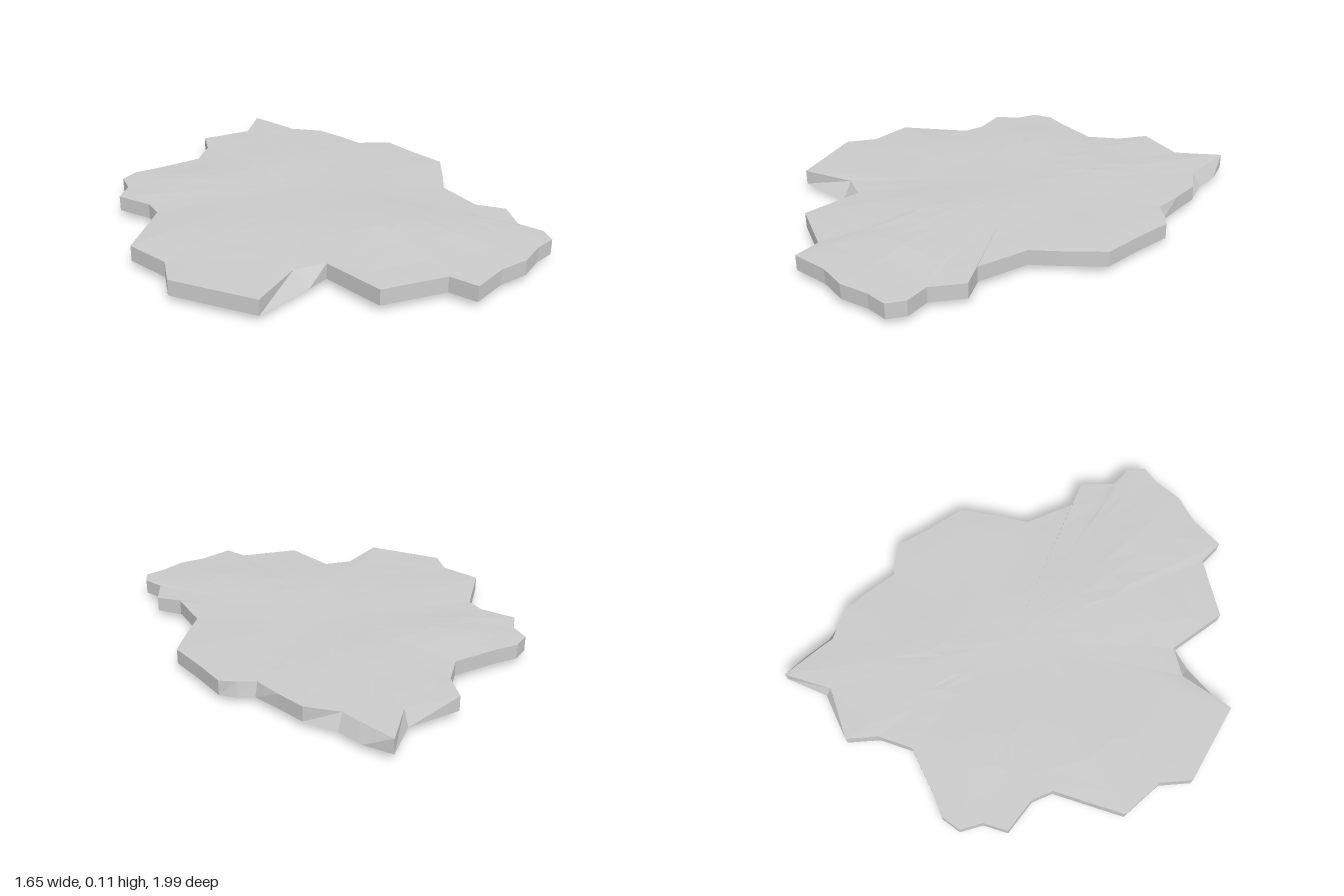
import * as THREE from 'three';

// Slab outline as [x, z], running back -> right -> front -> left.
// Where the wall slants, a second pair gives the lower edge.
const OUTLINE = [
  [-0.08, -1], [0.03, -0.85, 0.02, -0.92], [0.07, -0.79, 0.09, -0.82], [0.21, -0.73],
  [0.29, -0.62], [0.36, -0.51, 0.37, -0.52], [0.44, -0.5, 0.44, -0.51], [0.51, -0.48],
  [0.58, -0.34], [0.67, -0.18], [0.62, 0], [0.58, 0.12], [0.655, 0.335], [0.76, 0.39],
  [0.75, 0.54], [0.82, 0.62], [0.82, 0.7], [0.74, 0.75], [0.65, 0.84], [0.53, 0.89],
  [0.4, 0.99], [0.32, 0.9], [0.05, 0.94], [-0.09, 0.71], [-0.22, 0.73, -0.17, 0.77],
  [-0.38, 0.92], [-0.68, 0.71], [-0.68, 0.57], [-0.8, 0.41], [-0.68, 0.12],
  [-0.71, 0.03], [-0.83, -0.08], [-0.79, -0.18], [-0.81, -0.28], [-0.75, -0.35],
  [-0.65, -0.38], [-0.45, -0.46], [-0.39, -0.6], [-0.39, -0.74], [-0.16, -0.8, -0.17, -0.83],
];

// Soft mounds: x, z, radius, height
const TOP_MOUNDS = [[0.15, 0.42, 0.25, 0.018], [0.5, 0.62, 0.18, 0.016],
  [-0.55, 0.35, 0.2, 0.012], [-0.1, -0.3, 0.3, 0.008], [-0.5, -0.2, 0.2, 0.008]];
const BOTTOM_MOUNDS = [[0.3, -0.08, 0.2, 0.022], [-0.22, 0.55, 0.2, 0.012],
  [0.35, 0.6, 0.2, 0.01], [-0.5, 0.1, 0.2, 0.006]];

const swell = (mounds, x, z) => mounds.reduce((sum, [mx, mz, r, h]) =>
  sum + h * Math.exp(-((x - mx) ** 2 + (z - mz) ** 2) / (r * r)), 0);

// Shallow unevenness of the broken stone surface
const ripple = (x, z) => 0.0025 * Math.sin(9 * x + 4 * z) * Math.cos(8 * z - 3 * x);

function ring(scale, top) {
  const inner = 1 - scale ** 4; // fades the relief out at the rim
  return OUTLINE.map(([tx, tz, bx = tx, bz = tz]) => {
    const x = (top ? tx : bx) * scale;
    const z = (top ? tz : bz) * scale;
    const y = top
      ? 0.096 + inner * (0.007 + swell(TOP_MOUNDS, x, z) + ripple(x, z))
      : 0.031 - inner * (0.006 + swell(BOTTOM_MOUNDS, x, z) + ripple(z, x));
    return [x, y, z];
  });
}

function slabGeometry() {
  // Rings run from the top centre, over the rim, to the bottom centre
  const scales = [0, 0.18, 0.36, 0.53, 0.7, 0.86, 1];
  const rings = [
    ...scales.map((s) => ring(s, true)),
    ...scales.slice().reverse().map((s) => ring(s, false)),
  ];
  const n = OUTLINE.length;
  const positions = [];
  for (let k = 0; k < rings.length - 1; k++) {
    for (let i = 0; i < n; i++) {
      const j = (i + 1) % n;
      const a = rings[k][i], b = rings[k][j], c = rings[k + 1][j], d = rings[k + 1][i];
      if (k < rings.length - 2) positions.push(...a, ...c, ...d);
      if (k > 0) positions.push(...a, ...b, ...c);
    }
  }
  const geometry = new THREE.BufferGeometry();
  geometry.setAttribute('position', new THREE.Float32BufferAttribute(positions, 3));
  geometry.computeVertexNormals();
  // Rest the lowest point on the ground
  geometry.computeBoundingBox();
  geometry.translate(0, -geometry.boundingBox.min.y, 0);
  return geometry;
}

export function createModel() {
  const group = new THREE.Group();
  group.name = 'brokenSlab';
  const stone = new THREE.MeshStandardMaterial({ color: 0xcccccc, flatShading: true });
  const slab = new THREE.Mesh(slabGeometry(), stone);
  slab.name = 'slab';
  group.add(slab);
  return group;
}
